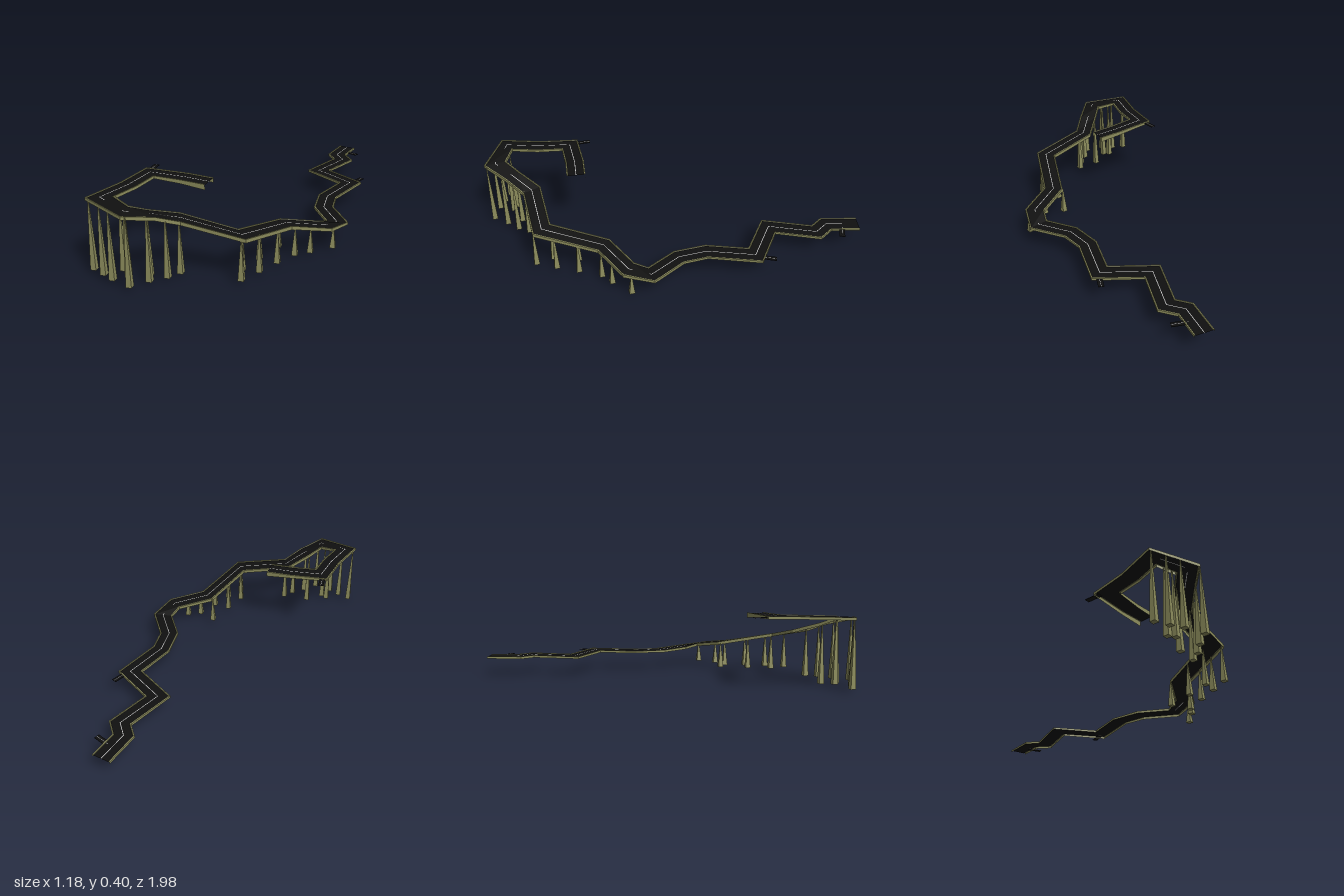
import * as THREE from 'three';

// Centre line: x, y, z and depth of the kerb skirt
const PATH = [
  [0.415, 0.114, -0.985, 0.009], [0.367, 0.114, -0.812, 0.011], [0.417, 0.113, -0.73, 0.011],
  [0.298, 0.113, -0.492, 0.009], [0.512, 0.115, -0.33, 0.011], [0.412, 0.115, -0.09, 0.009],
  [0.415, 0.115, 0.065, 0.011], [0.512, 0.117, 0.24, 0.012], [0.467, 0.142, 0.348, 0.015],
  [0.28, 0.174, 0.437, 0.016], [0.133, 0.234, 0.738, 0.016], [-0.165, 0.291, 0.747, 0.016],
  [-0.27, 0.339, 0.838, 0.016], [-0.365, 0.375, 0.92, 0.014], [-0.526, 0.394, 0.837, 0.012],
  [-0.46, 0.395, 0.66, 0.012], [-0.42, 0.398, 0.484, 0.012], [-0.235, 0.391, 0.487, 0.018],
  [-0.1, 0.385, 0.502, 0.026],
];
const ROAD_HALF = 0.044, KERB_HALF = 0.052, KERB_TOP = 0.003;

const mat = (color) => new THREE.MeshStandardMaterial({ color, side: THREE.DoubleSide, flatShading: true });

// Sideways mitre direction at each path point
const mitres = PATH.map((p, i) => {
  const dir = (a, b) => new THREE.Vector2(b[0] - a[0], b[2] - a[2]).normalize();
  const d0 = i > 0 ? dir(PATH[i - 1], p) : dir(p, PATH[1]);
  const d1 = i < PATH.length - 1 ? dir(p, PATH[i + 1]) : d0;
  const n0 = new THREE.Vector2(-d0.y, d0.x), n1 = new THREE.Vector2(-d1.y, d1.x);
  const m = n0.clone().add(n1).normalize();
  return m.multiplyScalar(1 / Math.max(m.dot(n0), 0.55));
});

// Sweep a profile of [side, lift, share of skirt depth] points along the path
function sweep(profile) {
  const pos = [], idx = [], n = profile.length;
  PATH.forEach(([x, y, z, depth], i) => {
    profile.forEach(([side, lift, drop], j) => {
      pos.push(x + mitres[i].x * side, y + lift - depth * drop, z + mitres[i].y * side);
      if (i && j) {
        const a = (i - 1) * n + j - 1, b = a + n;
        idx.push(a, a + 1, b, a + 1, b + 1, b);
      }
    });
  });
  const geo = new THREE.BufferGeometry();
  geo.setAttribute('position', new THREE.Float32BufferAttribute(pos, 3));
  geo.setIndex(idx);
  geo.computeVertexNormals();
  return geo;
}

// Road height at the nearest point of the centre line
function roadHeight(x, z) {
  let best = Infinity, height = 0;
  for (let i = 1; i < PATH.length; i++) {
    const [ax, ay, az] = PATH[i - 1], [bx, by, bz] = PATH[i];
    const dx = bx - ax, dz = bz - az;
    const t = THREE.MathUtils.clamp(((x - ax) * dx + (z - az) * dz) / (dx * dx + dz * dz), 0, 1);
    const d = Math.hypot(x - ax - t * dx, z - az - t * dz);
    if (d < best) { best = d; height = ay + (by - ay) * t; }
  }
  return height;
}

export function createModel() {
  const group = new THREE.Group();
  const asphalt = mat(0x101010), concrete = mat(0x8c8c5c), paint = mat(0xd8d8d8);
  const add = (name, geo, material, parent = group) => {
    const mesh = new THREE.Mesh(geo, material);
    mesh.name = name;
    parent.add(mesh);
    return mesh;
  };

  // Road deck, centre line and raised kerbs with a skirt outside
  add('roadDeck', sweep([[ROAD_HALF, 0, 0], [-ROAD_HALF, 0, 0]]), asphalt);
  add('centreLine', sweep([[0.0018, 0.001, 0], [-0.0018, 0.001, 0]]), paint);
  for (const s of [1, -1]) {
    add(s > 0 ? 'kerbA' : 'kerbB', sweep([
      [s * ROAD_HALF, 0, 0], [s * (ROAD_HALF + 0.002), KERB_TOP, 0],
      [s * KERB_HALF, KERB_TOP, 0], [s * KERB_HALF, 0, 1],
    ]), concrete);
  }

  // Tapered square pillars under the road edges: x, z, foot height
  const pillars = new THREE.Group();
  pillars.name = 'pillars';
  group.add(pillars);
  [
    [-0.575, 0.86], [-0.507, 0.895], [-0.445, 0.93], [-0.432, 0.832], [-0.4, 0.855],
    [-0.342, 0.97], [-0.305, 0.815, 0], [-0.272, 0.9], [-0.203, 0.845], [-0.157, 0.79],
    [0.12, 0.69], [0.142, 0.785], [0.173, 0.56], [0.204, 0.685], [0.236, 0.405],
    [0.267, 0.575], [0.333, 0.465, 0.015], [0.405, 0.425], [0.508, 0.345],
  ].forEach(([x, z, foot = 0.02]) => {
    const top = roadHeight(x, z) - 0.004;
    const geo = new THREE.CylinderGeometry(0.003, 0.021, top - foot, 4).rotateY(Math.PI / 4);
    add('pillar', geo, concrete, pillars).position.set(x, (top + foot) / 2, z);
  });

  // Short side roads: start x, z, end x, z, height
  [
    [0.42, -0.885, 0.495, -0.847, 0.112],
    [0.53, -0.345, 0.572, -0.425, 0.112],
    [-0.433, 0.45, -0.433, 0.363, 0.393],
  ].forEach(([x0, z0, x1, z1, y]) => {
    const length = Math.hypot(x1 - x0, z1 - z0);
    const side = new THREE.Group();
    side.name = 'sideRoad';
    side.position.set((x0 + x1) / 2, y, (z0 + z1) / 2);
    side.rotation.y = Math.atan2(x1 - x0, z1 - z0);
    group.add(side);
    add('sideDeck', new THREE.BoxGeometry(0.03, 0.003, length), asphalt, side);
    add('sideLine', new THREE.BoxGeometry(0.002, 0.001, length), paint, side).position.y = 0.002;
  });

  return group;
}
